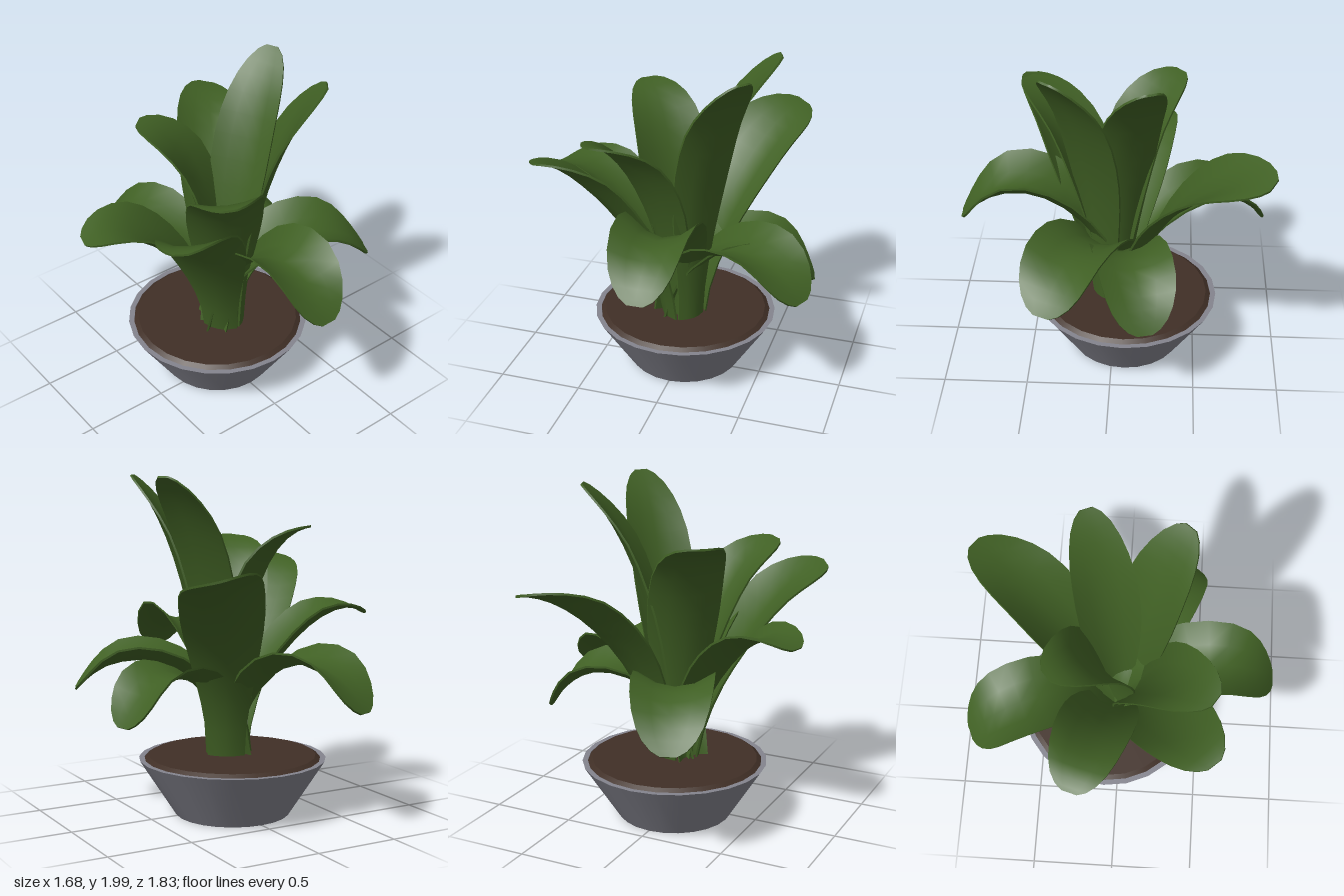
import * as THREE from 'three';
import { toCreasedNormals } from 'three/addons/utils/BufferGeometryUtils.js';

const leafGreen = new THREE.MeshStandardMaterial({ name: 'leafGreen', color: 0x406024 });
const potGrey = new THREE.MeshStandardMaterial({ name: 'potGrey', color: 0x84848e });
const soilBrown = new THREE.MeshStandardMaterial({ name: 'soilBrown', color: 0x402f26 });

const POT_Z = -0.077;
const ACROSS = [-1, -0.5, 0, 0.5, 1];
const ROWS = 14;

// Half-width along the leaf: narrow stem, broad blade, rounded tip
function widthAt(t) {
  const blade = THREE.MathUtils.lerp(0.45, 1, THREE.MathUtils.smoothstep(t, 0, 0.65));
  const tip = Math.max(0, (t - 0.65) / 0.35);
  return blade * Math.sqrt(1 - 0.96 * tip ** 2.4);
}

// Midrib: starts at distance crown from the middle (negative on the far side),
// rises to height rise, bends over towards arch and ends at the tip
function midrib({ tip, crown, rise, reach, arch }) {
  const end = new THREE.Vector3(...tip);
  const base = new THREE.Vector3(0, 0.33, -0.01);
  base.addScaledVector(end.clone().sub(base).setY(0).normalize(), crown);
  return new THREE.CubicBezierCurve3(
    base,
    base.clone().lerp(end, 0.06).setY(rise),
    base.clone().lerp(end, reach).setY(arch),
    end,
  );
}

// A thin cupped blade swept along its midrib, flattening and rolling towards the tip
function leafGeometry(leaf) {
  const spine = midrib(leaf);
  const outward = spine.v3.clone().sub(spine.v0).setY(0).normalize();
  const level = new THREE.Vector3(0, 1, 0).cross(outward);
  const loop = ACROSS.length * 2;
  const pos = [], index = [];

  for (let i = 0; i < ROWS; i++) {
    const t = 1 - (1 - i / (ROWS - 1)) ** 1.5; // rows gather towards the tip
    const p = spine.getPointAt(t);
    const tangent = spine.getTangentAt(t);
    const side = level.clone().applyAxisAngle(tangent, leaf.roll * t);
    const normal = tangent.clone().cross(side).normalize();
    const w = widthAt(t) * leaf.width;
    const cup = leaf.cup * (1 - 0.9 * THREE.MathUtils.smoothstep(t, 0.72, 1));
    for (let k = 0; k < loop; k++) {
      const top = k < ACROSS.length;
      const u = ACROSS[top ? k : loop - 1 - k];
      const lift = cup * w * (u * u - 0.25) + (top ? 0.006 : -0.006);
      const v = p.clone().addScaledVector(side, u * w).addScaledVector(normal, lift);
      pos.push(v.x, v.y, v.z);
    }
  }
  for (let i = 0; i < ROWS - 1; i++) {
    for (let k = 0; k < loop; k++) {
      const a = i * loop + k, b = i * loop + (k + 1) % loop;
      index.push(a, b + loop, b, a, a + loop, b + loop);
    }
  }
  // Close the tip
  const o = (ROWS - 1) * loop;
  for (let j = 0; j < ACROSS.length - 1; j++) {
    const under = o + loop - 1 - j;
    index.push(o + j, under, o + j + 1, o + j + 1, under, under - 1);
  }
  const geo = new THREE.BufferGeometry();
  geo.setAttribute('position', new THREE.Float32BufferAttribute(pos, 3));
  geo.setIndex(index);
  return toCreasedNormals(geo, 0.8);
}

// Low arching leaves
const LOW_LEAVES = [
  { name: 'frontArchingLeaf', tip: [0.02, 0.9, 0.9], crown: -0.04, rise: 0.95, reach: 0.65, arch: 1.42, width: 0.225, cup: 0.55, roll: 0 },
  { name: 'frontLeftDroopingLeaf', tip: [0.81, 0.75, 0.36], crown: -0.1, rise: 0.83, reach: 0.67, arch: 1.18, width: 0.24, cup: 0.42, roll: 0 },
  { name: 'leftDroopingLeaf', tip: [0.77, 0.61, -0.21], crown: -0.08, rise: 0.75, reach: 0.67, arch: 1.15, width: 0.22, cup: 0.38, roll: 0 },
  { name: 'backRightDroopingLeaf', tip: [-0.37, 0.7, -0.89], crown: 0.02, rise: 0.85, reach: 0.65, arch: 1.24, width: 0.23, cup: 0.38, roll: 0 },
  { name: 'rightArchingLeaf', tip: [-0.82, 1.17, -0.24], crown: 0.04, rise: 0.8, reach: 0.65, arch: 1.38, width: 0.22, cup: 0.4, roll: 0 },
];

// Upright leaves
const TALL_LEAVES = [
  { name: 'backLeftLeaf', tip: [0.53, 1.46, -0.88], crown: 0.12, rise: 0.98, reach: 0.6, arch: 1.46, width: 0.24, cup: 0.33, roll: 0.25 },
  { name: 'frontRightLeaf', tip: [-0.7, 1.48, 0.54], crown: 0.1, rise: 0.78, reach: 0.6, arch: 1.47, width: 0.23, cup: 0.33, roll: 0.25 },
  { name: 'frontRightUpperLeaf', tip: [-0.38, 1.61, 0.53], crown: 0.05, rise: 1, reach: 0.45, arch: 1.55, width: 0.22, cup: 0.35, roll: 0.12 },
  { name: 'backRightTallLeaf', tip: [-0.33, 1.7, -0.38], crown: 0.02, rise: 1.1, reach: 0.3, arch: 1.65, width: 0.22, cup: 0.3, roll: 0 },
  { name: 'leftTallLeaf', tip: [0.52, 1.98, -0.22], crown: 0.04, rise: 1, reach: 0.35, arch: 1.7, width: 0.185, cup: 0.3, roll: 0 },
  { name: 'frontLeftTallLeaf', tip: [0.44, 1.99, 0.34], crown: 0.11, rise: 1, reach: 0.33, arch: 1.7, width: 0.195, cup: 0.3, roll: 0 },
];

export function createModel() {
  const model = new THREE.Group();
  model.name = 'pottedPlant';

  // Tapered pot with a narrow flat rim
  const profile = [[0, 0], [0.34, 0], [0.555, 0.335], [0.523, 0.335], [0.51, 0.3]]
    .map(([r, y]) => new THREE.Vector2(r, y));
  const pot = new THREE.Mesh(toCreasedNormals(new THREE.LatheGeometry(profile, 24), 0.5), potGrey);
  pot.name = 'pot';
  pot.position.z = POT_Z;
  model.add(pot);

  // Soil, standing just above the rim
  const soil = new THREE.Mesh(new THREE.CylinderGeometry(0.495, 0.523, 0.02, 24), soilBrown);
  soil.name = 'soil';
  soil.position.set(0, 0.342, POT_Z);
  model.add(soil);

  // Rosette of leaves
  const foliage = new THREE.Group();
  foliage.name = 'foliage';
  for (const leaf of [...LOW_LEAVES, ...TALL_LEAVES]) {
    const mesh = new THREE.Mesh(leafGeometry(leaf), leafGreen);
    mesh.name = leaf.name;
    foliage.add(mesh);
  }
  model.add(foliage);
  return model;
}
